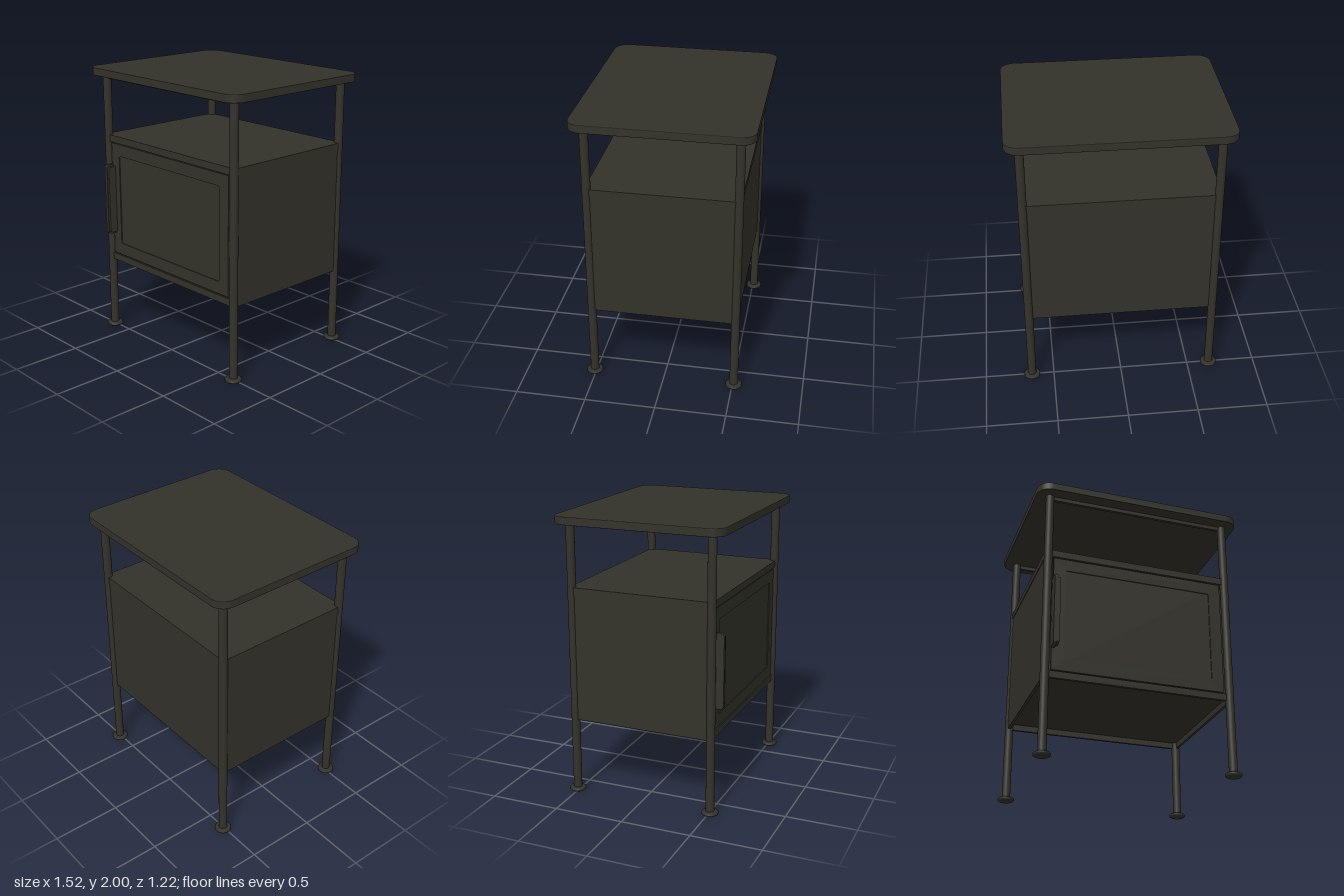
import * as THREE from 'three';

const metal = new THREE.MeshStandardMaterial({ color: 0x33322a });
metal.name = 'dark olive metal';

const LEG_X = 0.66, LEG_Z = 0.51, LEG_R = 0.03;

function add(parent, name, geometry, x = 0, y = 0, z = 0) {
  const mesh = new THREE.Mesh(geometry, metal);
  mesh.name = name;
  mesh.position.set(x, y, z);
  parent.add(mesh);
  return mesh;
}

// Box given by its lower and upper corners
function slab(parent, name, [x0, y0, z0], [x1, y1, z1]) {
  return add(parent, name, new THREE.BoxGeometry(x1 - x0, y1 - y0, z1 - z0),
    (x0 + x1) / 2, (y0 + y1) / 2, (z0 + z1) / 2);
}

// Rounded rectangle outline
function roundedRect(x0, y0, x1, y1, r, Type = THREE.Shape) {
  const s = new Type();
  s.absarc(x1 - r, y0 + r, r, -Math.PI / 2, 0);
  s.absarc(x1 - r, y1 - r, r, 0, Math.PI / 2);
  s.absarc(x0 + r, y1 - r, r, Math.PI / 2, Math.PI);
  s.absarc(x0 + r, y0 + r, r, Math.PI, Math.PI * 1.5);
  s.closePath();
  return s;
}

// Rectangle with a square notch at each corner, leaving room for the legs
function notchedRect(x, z, nx, nz) {
  return new THREE.Shape([[x, -nz], [x, nz], [nx, nz], [nx, z], [-nx, z], [-nx, nz],
    [-x, nz], [-x, -nz], [-nx, -nz], [-nx, -z], [nx, -z], [nx, -nz]]
    .map(([a, b]) => new THREE.Vector2(a, b)));
}

function extrude(shape, depth, bevel = 0) {
  return new THREE.ExtrudeGeometry(shape, {
    depth: depth - 2 * bevel, curveSegments: 10, bevelEnabled: bevel > 0,
    bevelThickness: bevel, bevelSize: bevel, bevelOffset: -bevel, bevelSegments: 2,
  }).translate(0, 0, bevel);
}

function createTop(root) {
  const g = extrude(roundedRect(-0.76, -0.61, 0.76, 0.61, 0.1), 0.055, 0.004);
  add(root, 'tableTop', g.rotateX(-Math.PI / 2), 0, 1.945, 0);
  // Rails under the front and back of the top
  for (const s of [1, -1]) {
    add(root, s > 0 ? 'frontTopRail' : 'backTopRail',
      new THREE.BoxGeometry(2 * LEG_X, 0.03, 0.02), 0, 1.932, s * LEG_Z);
  }
}

function createLegs(root) {
  const footProfile = [[0, 0], [0.05, 0], [0.058, 0.006], [0.058, 0.018], [0.05, 0.025], [0, 0.028]]
    .map(([x, y]) => new THREE.Vector2(x, y));
  for (const sx of [1, -1]) for (const sz of [1, -1]) {
    const leg = new THREE.Group();
    leg.name = (sz > 0 ? 'front' : 'back') + (sx > 0 ? 'Left' : 'Right') + 'Leg';
    leg.position.set(sx * LEG_X, 0, sz * LEG_Z);
    add(leg, 'tube', new THREE.CylinderGeometry(LEG_R, LEG_R, 1.93, 24), 0, 0.985, 0);
    add(leg, 'foot', new THREE.LatheGeometry(footProfile, 24));
    root.add(leg);
  }
}

function createCabinet(root) {
  const cabinet = new THREE.Group();
  cabinet.name = 'cabinet';
  root.add(cabinet);

  // Shelf fitted between the legs
  const shelf = extrude(notchedRect(0.68, 0.523, 0.64, 0.49), 0.05);
  add(cabinet, 'shelf', shelf.rotateX(-Math.PI / 2), 0, 1.455, 0);

  // Panels between the legs, hanging below the floor
  for (const s of [1, -1]) {
    add(cabinet, s > 0 ? 'leftPanel' : 'rightPanel',
      new THREE.BoxGeometry(0.02, 0.91, 0.98), s * 0.666, 1.0, 0);
  }
  slab(cabinet, 'backPanel', [-0.64, 0.545, -0.519], [0.64, 1.455, -0.499]);
  slab(cabinet, 'frontRail', [-0.64, 0.545, 0.499], [0.64, 0.594, 0.521]);
  const floor = extrude(notchedRect(0.665, 0.51, 0.65, 0.5), 0.012);
  add(cabinet, 'floor', floor.rotateX(-Math.PI / 2), 0, 0.588, 0);
}

function createDoor(root) {
  const door = new THREE.Group();
  door.name = 'door';
  root.add(door);

  // Frame around a slightly recessed centre panel
  const frame = roundedRect(-0.62, 0.603, 0.617, 1.447, 0.005);
  frame.holes.push(roundedRect(-0.535, 0.69, 0.53, 1.36, 0.015, THREE.Path));
  add(door, 'doorFrame', extrude(frame, 0.02), 0, 0, 0.499);
  slab(door, 'doorPanel', [-0.61, 0.61, 0.494], [0.61, 1.44, 0.512]);

  // Handle: an upright fin on the door edge with a shorter step beside it
  const fin = roundedRect(-0.585, 0.76, -0.5, 1.29, 0.025);
  add(door, 'handleFin', extrude(fin, 0.025).rotateY(Math.PI / 2), -0.625, 0, 0);
  const step = roundedRect(-0.58, 0.775, -0.5, 1.275, 0.02);
  add(door, 'handleStep', extrude(step, 0.018).rotateY(Math.PI / 2), -0.6, 0, 0);
}

export function createModel() {
  const root = new THREE.Group();
  root.name = 'sideTable';
  createTop(root);
  createLegs(root);
  createCabinet(root);
  createDoor(root);
  return root;
}
